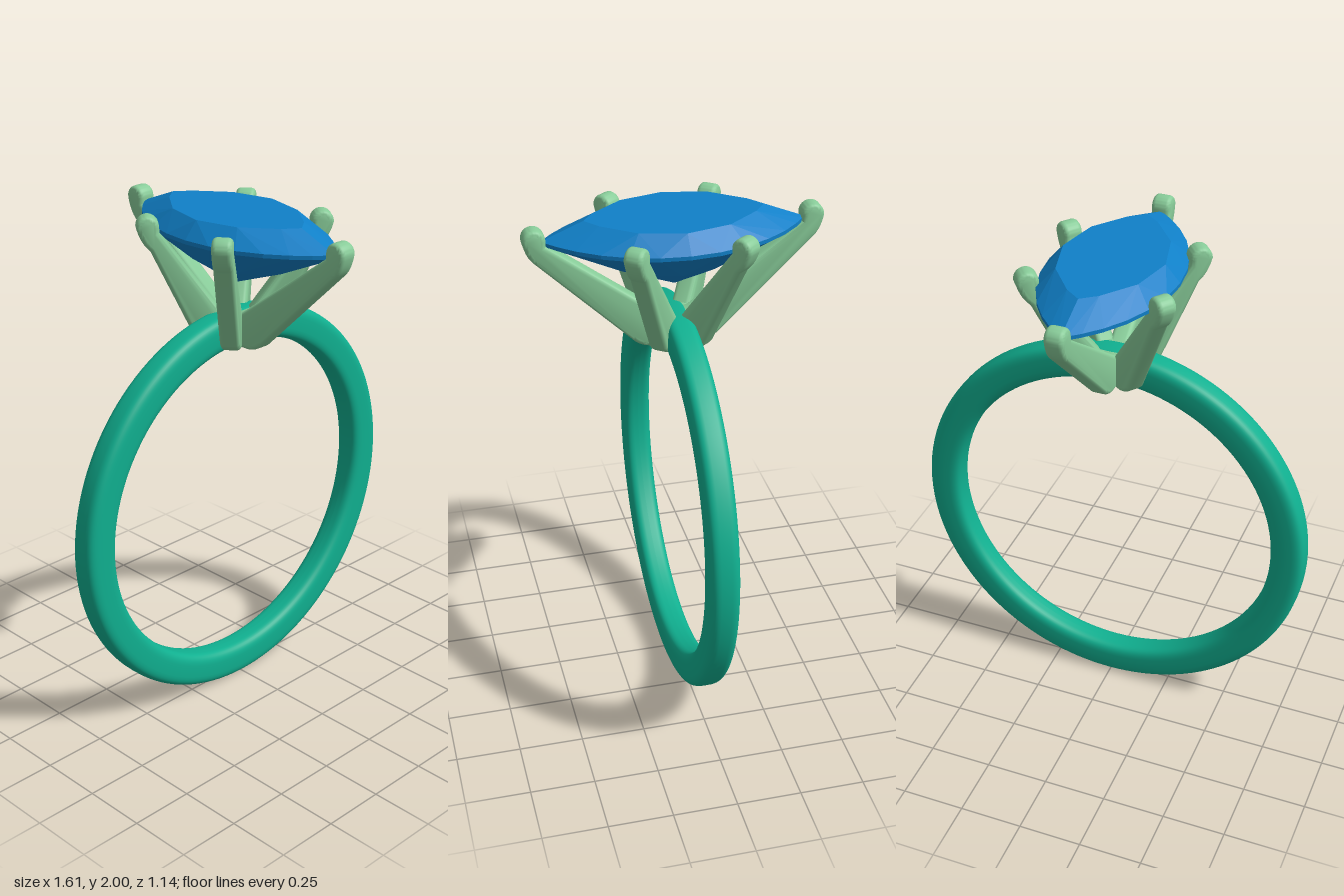
import * as THREE from 'three';
import { toCreasedNormals } from 'three/addons/utils/BufferGeometryUtils.js';
import { ConvexGeometry } from 'three/addons/geometries/ConvexGeometry.js';

const bandMaterial = new THREE.MeshStandardMaterial({ color: 0x10b090 });
const prongMaterial = new THREE.MeshStandardMaterial({ color: 0x88cc99 });
const gemMaterial = new THREE.MeshStandardMaterial({ color: 0x1080c8, flatShading: true });

// Band: a soft rectangular section swept round the z axis
function createBand() {
  const section = [];
  const soften = v => Math.sign(v) * Math.abs(v) ** 0.58;
  for (let i = 0; i <= 40; i++) {
    const a = (i / 40) * Math.PI * 2 + Math.PI;
    section.push(new THREE.Vector2(0.736 + 0.069 * soften(Math.cos(a)), 0.058 * soften(Math.sin(a))));
  }
  const geometry = new THREE.LatheGeometry(section, 128);
  geometry.rotateX(Math.PI / 2);
  const band = new THREE.Mesh(geometry, bandMaterial);
  band.name = 'band';
  band.position.y = 0.81;
  return band;
}

// Gem: facets spanning rings of a pointed-oval outline
function createGem() {
  const halfWidth = 0.255, halfLength = 0.5;
  const arcRadius = (halfWidth ** 2 + halfLength ** 2) / (2 * halfWidth);
  const points = [new THREE.Vector3(0, 1.715, 0)];
  const addRing = (y, scaleX, scaleZ, steps) => {
    for (let i = 0; i <= steps; i++) {
      const z = -halfLength * Math.cos((i / steps) * Math.PI);
      const x = Math.max(0, Math.sqrt(arcRadius ** 2 - z * z) - arcRadius + halfWidth);
      points.push(new THREE.Vector3(x * scaleX, y, z * scaleZ));
      if (x > 0.001) points.push(new THREE.Vector3(-x * scaleX, y, z * scaleZ));
    }
  };
  addRing(2.0, 0.78, 0.68, 6);    // table
  addRing(1.935, 1, 1, 14);       // upper girdle
  addRing(1.92, 1, 1, 14);        // lower girdle
  addRing(1.803, 0.52, 0.48, 6);  // pavilion
  const gem = new THREE.Mesh(new ConvexGeometry(points), gemMaterial);
  gem.name = 'gem';
  return gem;
}

// Prong: a tapering blade with a round tip, leaning outwards along its own x
function prongGeometry(tip, elbow, foot) {
  const radius = 0.043;
  const shape = new THREE.Shape();
  shape.moveTo(0, 1.475);
  shape.lineTo(foot * 0.6, 1.475);
  shape.quadraticCurveTo(foot * 0.92, 1.478, foot + 0.02, 1.515);
  shape.lineTo(elbow - 0.02, 1.855);
  shape.quadraticCurveTo(elbow + 0.015, 1.885, tip + radius, 1.945);
  shape.absarc(tip, 1.947, radius, 0, Math.PI, false);
  shape.lineTo(tip - radius, 1.925);
  shape.lineTo(0.055, 1.61);
  shape.lineTo(0, 1.61);
  const bevel = 0.018, width = 0.076;
  const geometry = new THREE.ExtrudeGeometry(shape, {
    depth: width - 2 * bevel, curveSegments: 10,
    bevelEnabled: true, bevelSize: bevel, bevelThickness: bevel, bevelOffset: -bevel, bevelSegments: 4,
  });
  geometry.translate(0, 0, bevel - width / 2);
  return toCreasedNormals(geometry, 0.7);
}

function createProngs() {
  const prongs = new THREE.Group();
  prongs.name = 'prongs';
  const endProng = prongGeometry(0.527, 0.545, 0.155);
  const sideProng = prongGeometry(0.328, 0.34, 0.14);
  const add = (name, geometry, x, z) => {
    const prong = new THREE.Mesh(geometry, prongMaterial);
    prong.name = name;
    prong.rotation.y = -Math.atan2(z, x);
    prongs.add(prong);
  };
  for (const z of [1, -1]) {
    const end = z > 0 ? 'front' : 'back';
    add(end + 'Prong', endProng, 0, z);
    add(end + 'LeftProng', sideProng, 0.26, 0.2 * z);
    add(end + 'RightProng', sideProng, -0.26, 0.2 * z);
  }
  return prongs;
}

export function createModel() {
  const ring = new THREE.Group();
  ring.name = 'ring';
  ring.add(createBand(), createGem(), createProngs());
  return ring;
}
